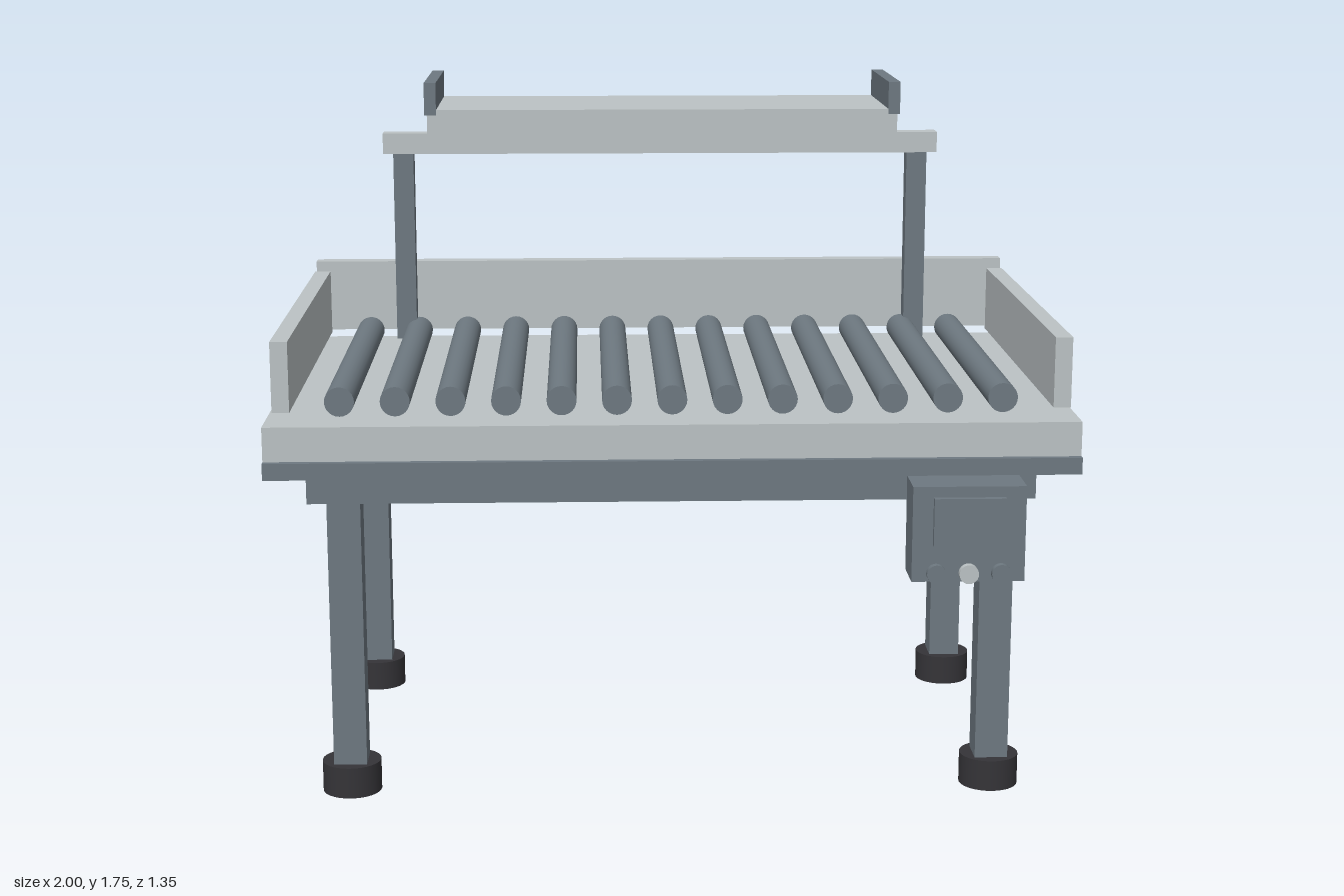
import * as THREE from 'three';

export function createModel() {
  const model = new THREE.Group();
  model.name = 'rollerTable';
  const mat = (name, color) => {
    const m = new THREE.MeshStandardMaterial({ color });
    m.name = name;
    return m;
  };
  const light = mat('lightGrey', 0xbcc3c5);
  const steel = mat('steelGrey', 0x6e7981);
  const rubber = mat('rubberBlack', 0x353438);

  const add = (name, geometry, material, x, y, z) => {
    const mesh = new THREE.Mesh(geometry, material);
    mesh.name = name;
    mesh.position.set(x, y, z);
    model.add(mesh);
    return mesh;
  };
  // Box given by its limits on each axis
  const box = (name, material, [x0, x1], [y0, y1], [z0, z1]) =>
    add(name, new THREE.BoxGeometry(x1 - x0, y1 - y0, z1 - z0), material,
      (x0 + x1) / 2, (y0 + y1) / 2, (z0 + z1) / 2);
  // Matching boxes on the left and right
  const pair = (name, material, [x0, x1], ys, zs) => {
    box(name + 'Left', material, [x0, x1], ys, zs);
    box(name + 'Right', material, [-x1, -x0], ys, zs);
  };

  // Table top, front rail and under frame
  box('tableTop', light, [-1, 1], [0.897, 0.99], [-0.585, 0.615]);
  box('frontRail', steel, [-1, 1], [0.862, 0.904], [0.6, 0.633]);
  box('underFrame', steel, [-0.907, 0.907], [0.775, 0.87], [-0.492, 0.525]);

  // Legs with round feet
  for (const z of [0.445, -0.415]) {
    pair('leg', steel, [0.778, 0.862], [0.06, 0.882], [z - 0.044, z + 0.044]);
    for (const x of [-0.82, 0.82]) {
      add('foot', new THREE.CylinderGeometry(0.075, 0.075, 0.08, 32), rubber, x, 0.04, z);
    }
  }

  // Row of rollers running front to back
  const rollerShape = new THREE.CylinderGeometry(0.037, 0.037, 0.98, 24).rotateX(Math.PI / 2);
  for (let i = 0; i < 13; i++) {
    add('roller', rollerShape, steel, (i - 6) * 0.137, 1.028, 0.012);
  }

  // Guard walls
  pair('sideWall', light, [0.938, 0.981], [1.014, 1.19], [-0.522, 0.558]);
  box('backWall', light, [-0.977, 0.977], [1.022, 1.218], [-0.565, -0.522]);

  // Overhead gantry
  pair('post', steel, [0.69, 0.746], [1.01, 1.535], [-0.489, -0.436]);
  box('crossbar', light, [-0.774, 0.774], [1.533, 1.59], [-0.491, -0.434]);
  box('shelf', light, [-0.639, 0.639], [1.608, 1.672], [-0.671, -0.253]);
  pair('shelfEnd', steel, [0.614, 0.646], [1.658, 1.745], [-0.672, -0.252]);

  // Control box with screen and three knobs
  box('controlBox', steel, [0.582, 0.861], [0.6, 0.84], [0.54, 0.658]);
  box('controlScreen', steel, [0.633, 0.81], [0.694, 0.813], [0.65, 0.674]);
  const knobShape = new THREE.CylinderGeometry(0.024, 0.024, 0.03, 24).rotateX(Math.PI / 2);
  [0.642, 0.722, 0.802].forEach((x, i) =>
    add('knob', knobShape, i === 1 ? light : steel, x, 0.622, 0.661));

  return model;
}
